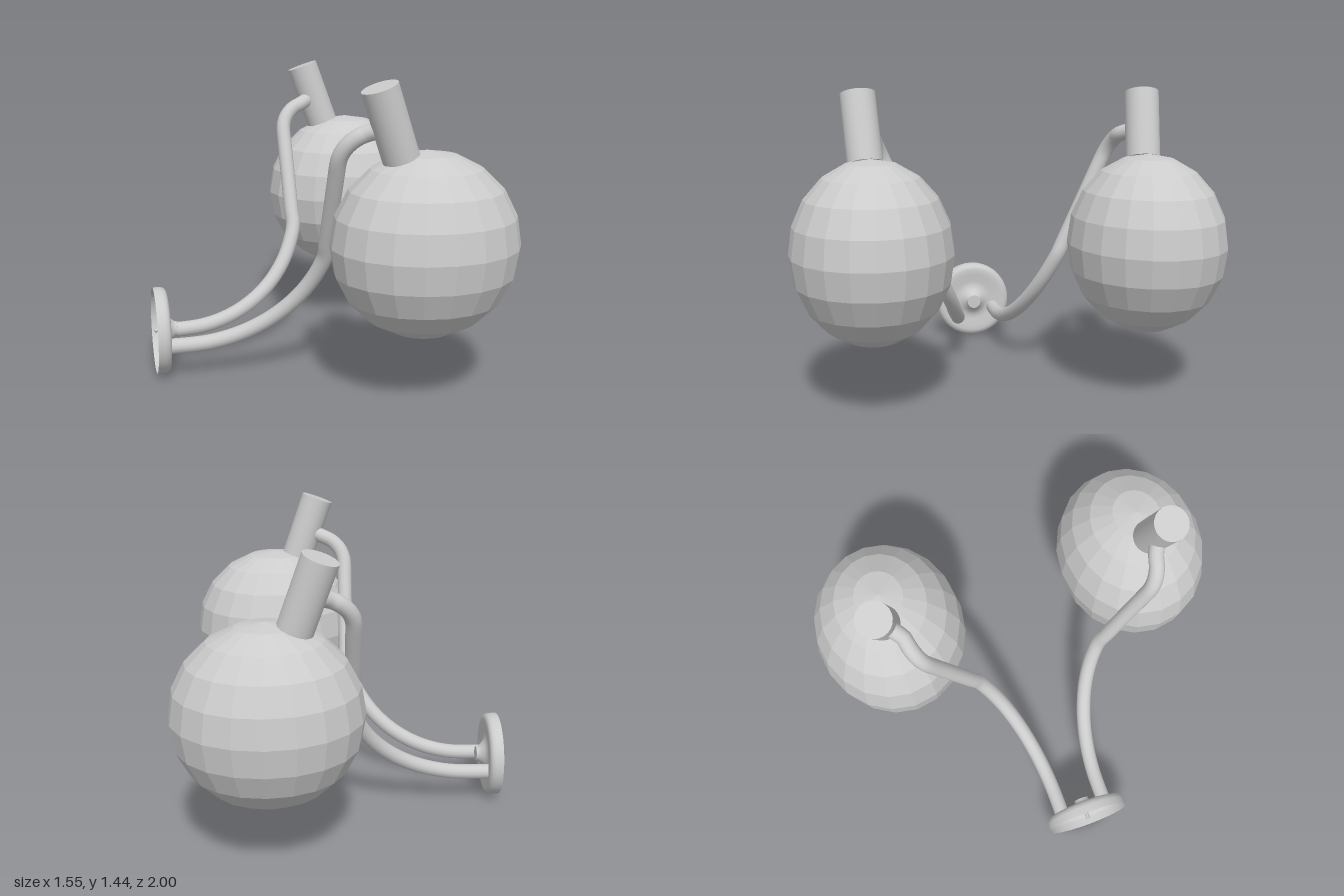
import * as THREE from 'three';

const V = (x, y, z) => new THREE.Vector3(x, y, z);
const smooth = new THREE.MeshStandardMaterial({ color: 0xcccccc });
const faceted = new THREE.MeshStandardMaterial({ color: 0xcccccc, flatShading: true });
const thin = new THREE.MeshStandardMaterial({ color: 0xcccccc, side: THREE.DoubleSide });

const PLATE_Y = 0.21, PLATE_Z = 0.015;

function add(parent, name, geometry, material) {
  const mesh = new THREE.Mesh(geometry, material);
  mesh.name = name;
  parent.add(mesh);
  return mesh;
}

// Cylinder running between two points
function rod(parent, name, a, b, radius, sides) {
  const dir = b.clone().sub(a);
  const mesh = add(parent, name, new THREE.CylinderGeometry(radius, radius, dir.length(), sides), smooth);
  mesh.position.copy(a).add(b).multiplyScalar(0.5);
  mesh.quaternion.setFromUnitVectors(V(0, 1, 0), dir.normalize());
  return mesh;
}

// Arm centre line: it lies in a plane leaning sideways, so z follows y
function armPath(side) {
  const lean = (x, y) => V(x, y, PLATE_Z + side * (0.115 + 0.457 * (y - 0.165)));
  const pts = [lean(-0.73, 0.165), lean(-0.68, 0.165)];
  for (let i = 0; i <= 10; i++) { // long sweep out from the plate
    const a = THREE.MathUtils.degToRad(7.8 * i);
    pts.push(lean(-0.63 + 0.625 * Math.sin(a), 0.165 + 0.568 * (1 - Math.cos(a))));
  }
  pts.push(lean(-0.02, 0.68), lean(-0.02, 0.85), lean(-0.02, 1.02));
  for (let i = 0; i <= 6; i++) { // bend into the socket
    const a = THREE.MathUtils.degToRad(70 * i / 6);
    pts.push(lean(-0.02 + 0.155 * (1 - Math.cos(a)), 1.08 + 0.141 * Math.sin(a)));
  }
  pts.push(V(0.17, 1.245, side * 0.655));
  return new THREE.CatmullRomCurve3(pts, false, 'centripetal');
}

function lamp(side) {
  const group = new THREE.Group();
  group.name = side > 0 ? 'frontLamp' : 'backLamp';

  add(group, 'arm', new THREE.TubeGeometry(armPath(side), 72, 0.037, 14), smooth);

  // Faceted globe, slightly narrower front to back
  const globe = add(group, 'globe', new THREE.SphereGeometry(1, 20, 10), faceted);
  globe.scale.set(0.422, 0.415, 0.365);
  globe.position.set(0.352, 0.725, side * 0.633);

  // Tilted lamp socket
  rod(group, 'socket', V(0.228, 1.108, side * 0.65), V(0.12, 1.413, side * 0.672), 0.081, 24);
  return group;
}

export function createModel() {
  const model = new THREE.Group();
  model.name = 'doubleWallLamp';

  // Hollow wall plate with rounded rim and a central knob, open at the back
  const profile = [
    [0.207, 0], [0.207, 0.035], [0.203, 0.051], [0.192, 0.061], [0.177, 0.065],
    [0.15, 0.064], [0.11, 0.058], [0.085, 0.058], [0.065, 0.068], [0.048, 0.083],
    [0.038, 0.095], [0.037, 0.105], [0.036, 0.106], [0.0001, 0.106],
  ].map(([r, h]) => new THREE.Vector2(r, h));
  const plate = add(model, 'wallPlate', new THREE.LatheGeometry(profile, 36), thin);
  plate.rotation.z = -Math.PI / 2;
  plate.position.set(-0.78, PLATE_Y, PLATE_Z);

  // Fixing pin inside the plate
  rod(model, 'fixingPin', V(-0.78, PLATE_Y, PLATE_Z), V(-0.68, PLATE_Y, PLATE_Z), 0.01, 10);

  for (const side of [1, -1]) model.add(lamp(side));
  return model;
}
